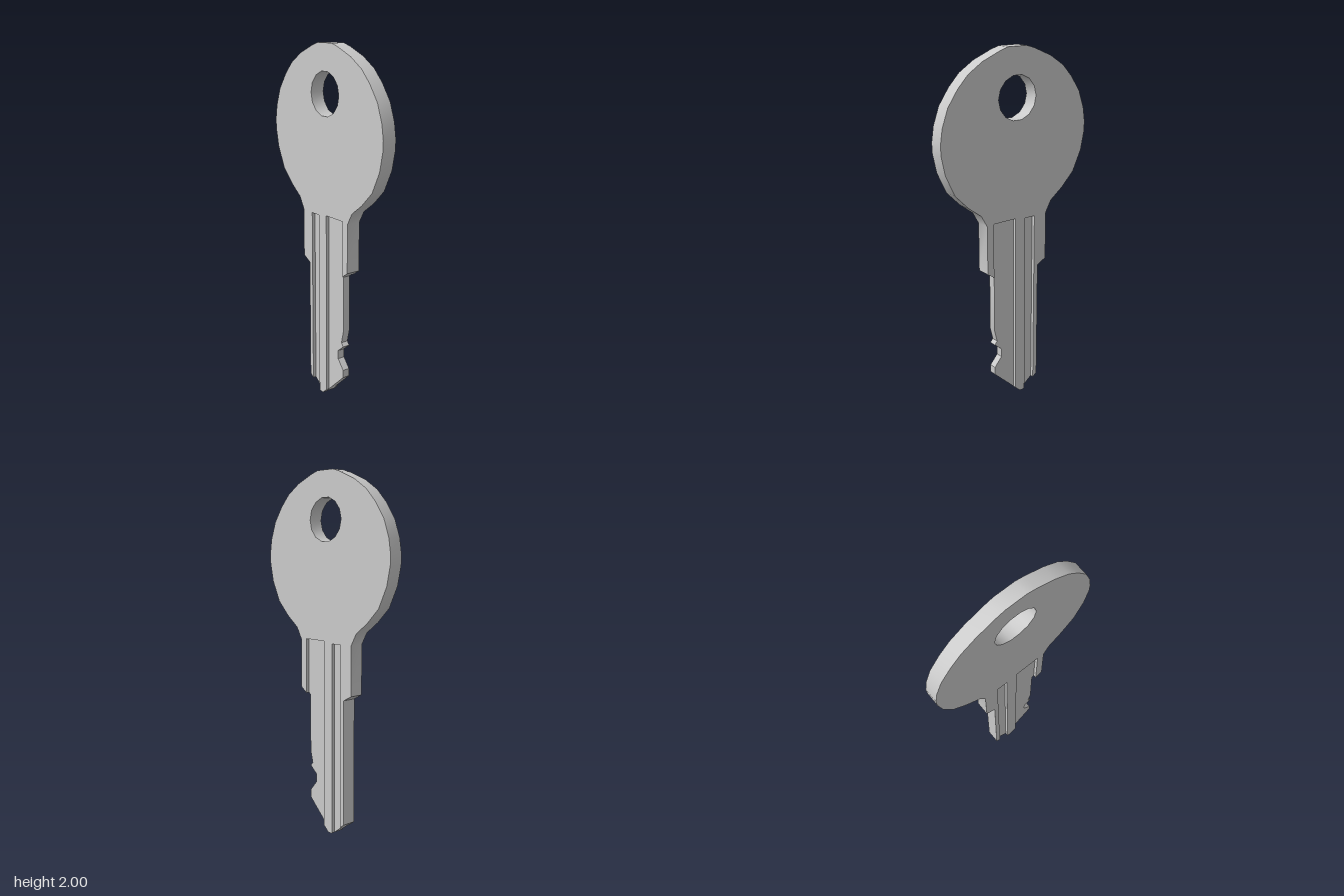
import * as THREE from 'three';
import { toCreasedNormals } from 'three/addons/utils/BufferGeometryUtils.js';

const material = new THREE.MeshStandardMaterial({ color: 0xcccccc });

// Extrude an outline symmetrically about z = 0, with smooth curves and sharp edges.
function plate(name, points, thickness, hole) {
  const shape = new THREE.Shape(points.map(([x, y]) => new THREE.Vector2(x, y)));
  if (hole) shape.holes.push(new THREE.Path(hole));
  const geometry = new THREE.ExtrudeGeometry(shape, { depth: thickness, bevelEnabled: false });
  geometry.translate(0, 0, -thickness / 2);
  const mesh = new THREE.Mesh(toCreasedNormals(geometry, 0.6), material);
  mesh.name = name;
  return mesh;
}

export function createModel() {
  const key = new THREE.Group();
  key.name = 'key';
  const thick = 0.08, thin = 0.042;

  // Right half of the bow, from the neck up to the top
  const bowSide = [
    [0.203, 0.805], [0.203, 1.08], [0.24, 1.145], [0.32, 1.205], [0.4, 1.285],
    [0.455, 1.4], [0.477, 1.505], [0.478, 1.56], [0.465, 1.64], [0.43, 1.735],
    [0.37, 1.82], [0.307, 1.885], [0.22, 1.94], [0.11, 1.985], [0.06, 2],
  ];
  const bowOtherSide = bowSide.map(([x, y]) => [-x, y]).reverse();

  // Full-thickness bow, shoulders and the two ribs running down the blade
  const body = [
    ...bowSide, ...bowOtherSide,
    [-0.147, 0.775], [-0.147, 0.075], [-0.12, 0.054],
    [-0.12, 1.075], [-0.055, 1.075], [-0.055, 0.004],
    [-0.048, 0], [-0.022, 0], [0.013, 0.032],
    [0.013, 1.085], [0.16, 1.085], [0.16, 0.775],
  ];
  const hole = [];
  for (let i = 0; i < 14; i++) {
    const a = (-i / 14) * Math.PI * 2;
    hole.push(new THREE.Vector2(0.123 * Math.cos(a), 1.74 + 0.119 * Math.sin(a)));
  }
  key.add(plate('bowAndRibs', body, thick, hole));

  // Thin web at the bottom of the narrow grooves
  key.add(plate('narrowGrooveWeb', [
    [-0.12, 0.054], [-0.055, 0.004], [-0.055, 1.075], [-0.12, 1.075],
  ], thin));

  // Thin web of the wide grooves, with the cut teeth on its outer edge
  key.add(plate('toothedWeb', [
    [0.013, 0.032], [0.147, 0.16], [0.147, 0.205], [0.1, 0.26], [0.1, 0.31],
    [0.147, 0.35], [0.13, 0.37], [0.147, 0.44], [0.147, 0.765], [0.16, 0.775],
    [0.16, 1.085], [0.013, 1.085],
  ], thin));

  return key;
}
